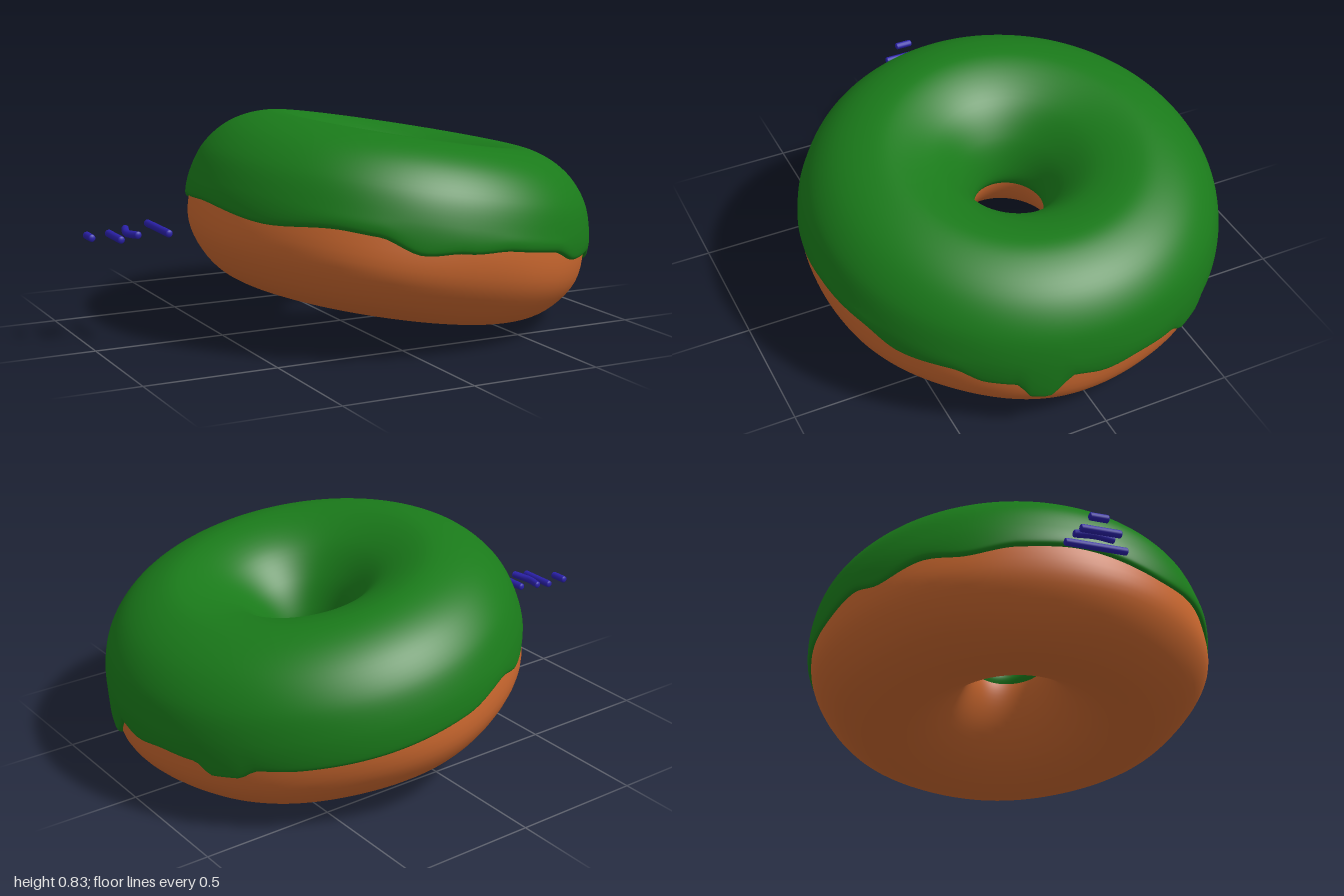
import * as THREE from 'three';

const AROUND = 200;

// Sweeps a changing (radius, height) profile around the y axis into a smooth surface.
function sweep(profileAt, steps, closed) {
  const pos = [], index = [];
  for (let i = 0; i < AROUND; i++) {
    const a = (i / AROUND) * Math.PI * 2;
    const pts = profileAt(a).map(([r, y]) => new THREE.Vector3(r, y, 0));
    const curve = new THREE.CatmullRomCurve3(pts, closed, 'centripetal');
    for (let j = 0; j <= steps; j++) {
      const p = curve.getPoint(j / steps);
      pos.push(p.x * Math.cos(a), p.y, p.x * Math.sin(a));
    }
  }
  const row = steps + 1;
  for (let i = 0; i < AROUND; i++) {
    const n = (i + 1) % AROUND;
    for (let j = 0; j < steps; j++) {
      const a = i * row + j, b = n * row + j;
      index.push(a, b, a + 1, b, b + 1, a + 1);
    }
  }
  const g = new THREE.BufferGeometry();
  g.setAttribute('position', new THREE.Float32BufferAttribute(pos, 3));
  g.setIndex(index);
  g.computeVertexNormals();
  return g;
}

// Height of the icing's dripping hem: [degrees around from +x towards +z, height].
const HEM = [
  [0, -0.045], [9, -0.028], [12.6, -0.09], [15, -0.122], [20, -0.115], [23, -0.058],
  [31, -0.055], [40, -0.017], [55, -0.032], [67, 0], [83, -0.003], [97, -0.027],
  [109, -0.052], [121, -0.009], [130, -0.006], [154, -0.04], [180, -0.02],
  [195, -0.03], [210, -0.055], [222, -0.03], [236, -0.06], [246, -0.025],
  [262, -0.05], [288, -0.055], [310, -0.053], [320, -0.047], [326, -0.08],
  [333, -0.082], [338, -0.036], [349, -0.028], [360, -0.045],
];

function hemHeight(a) {
  const deg = THREE.MathUtils.radToDeg(a);
  const k = HEM.findIndex(([d]) => d > deg);
  const [d0, h0] = HEM[k - 1], [d1, h1] = HEM[k];
  return THREE.MathUtils.lerp(h0, h1, THREE.MathUtils.smoothstep(deg, d0, d1));
}

// Dough ring: flat side, bevelled lower edge, flared hole.
const doughProfile = (a) => {
  const lump = 0.006 * Math.sin(3 * a + 1) + 0.004 * Math.sin(7 * a);
  return [
    [0.145, 0], [0.21, 0.15], [0.31, 0.25], [0.46, 0.3], [0.64, 0.24], [0.74, 0.13],
    [0.775, 0], [0.77 + lump, -0.14], [0.695 + lump, -0.25], [0.6, -0.308],
    [0.49, -0.33], [0.34, -0.295], [0.22, -0.2], [0.155, -0.09],
  ];
};

// Icing cap: from inside the hole, over the top, to a rounded dripping hem.
const icingProfile = (a) => {
  const hem = hemHeight(a);
  const drip = 0.15 * Math.max(0, -hem - 0.06);
  return [
    [0.15, -0.04], [0.132, 0], [0.145, 0.07], [0.195, 0.17], [0.3, 0.275], [0.46, 0.333],
    [0.57, 0.316], [0.675, 0.258], [0.752, 0.165], [0.787, 0.06],
    [0.794 + drip, hem + 0.028], [0.79 + drip, hem + 0.006], [0.779, hem - 0.002], [0.755, hem + 0.008],
  ];
};

// Short round stroke through a few points, with rounded ends.
function stroke(name, points, material) {
  const group = new THREE.Group();
  group.name = name;
  const pts = points.map((p) => new THREE.Vector3(...p));
  const curve = new THREE.CatmullRomCurve3(pts);
  group.add(new THREE.Mesh(new THREE.TubeGeometry(curve, 16, 0.014, 12), material));
  for (const p of [pts[0], pts[pts.length - 1]]) {
    const end = new THREE.Mesh(new THREE.SphereGeometry(0.014, 12, 8), material);
    end.position.copy(p);
    end.scale.z = 0.5;
    group.add(end);
  }
  group.children.forEach((m) => { m.name = name + 'Piece'; });
  return group;
}

export function createModel() {
  const model = new THREE.Group();
  const doughMat = new THREE.MeshStandardMaterial({ color: 0xc8662e });
  const icingMat = new THREE.MeshStandardMaterial({ color: 0x1a7a1a, side: THREE.DoubleSide });
  const strokeMat = new THREE.MeshStandardMaterial({ color: 0x2a20a8 });

  // Tilted ring with its icing
  const donut = new THREE.Group();
  donut.name = 'donut';
  const dough = new THREE.Mesh(sweep(doughProfile, 64, true), doughMat);
  dough.name = 'dough';
  const icing = new THREE.Mesh(sweep(icingProfile, 78, false), icingMat);
  icing.name = 'icing';
  donut.add(dough, icing);
  donut.position.set(0.205, 0.413, 0);
  donut.rotation.z = -0.17;
  model.add(donut);

  // Motion strokes trailing behind, the third one bent
  model.add(
    stroke('strokeLong', [[-0.75, 0.435, -0.11], [-0.75, 0.435, 0.115]], strokeMat),
    stroke('strokeBent', [[-0.838, 0.422, -0.11], [-0.855, 0.418, -0.04], [-0.838, 0.422, 0.03]], strokeMat),
    stroke('strokeMedium', [[-0.902, 0.41, -0.11], [-0.902, 0.41, 0.03]], strokeMat),
    stroke('strokeShort', [[-0.986, 0.41, -0.11], [-0.986, 0.41, 0.05 - 0.1]], strokeMat),
  );
  return model;
}
